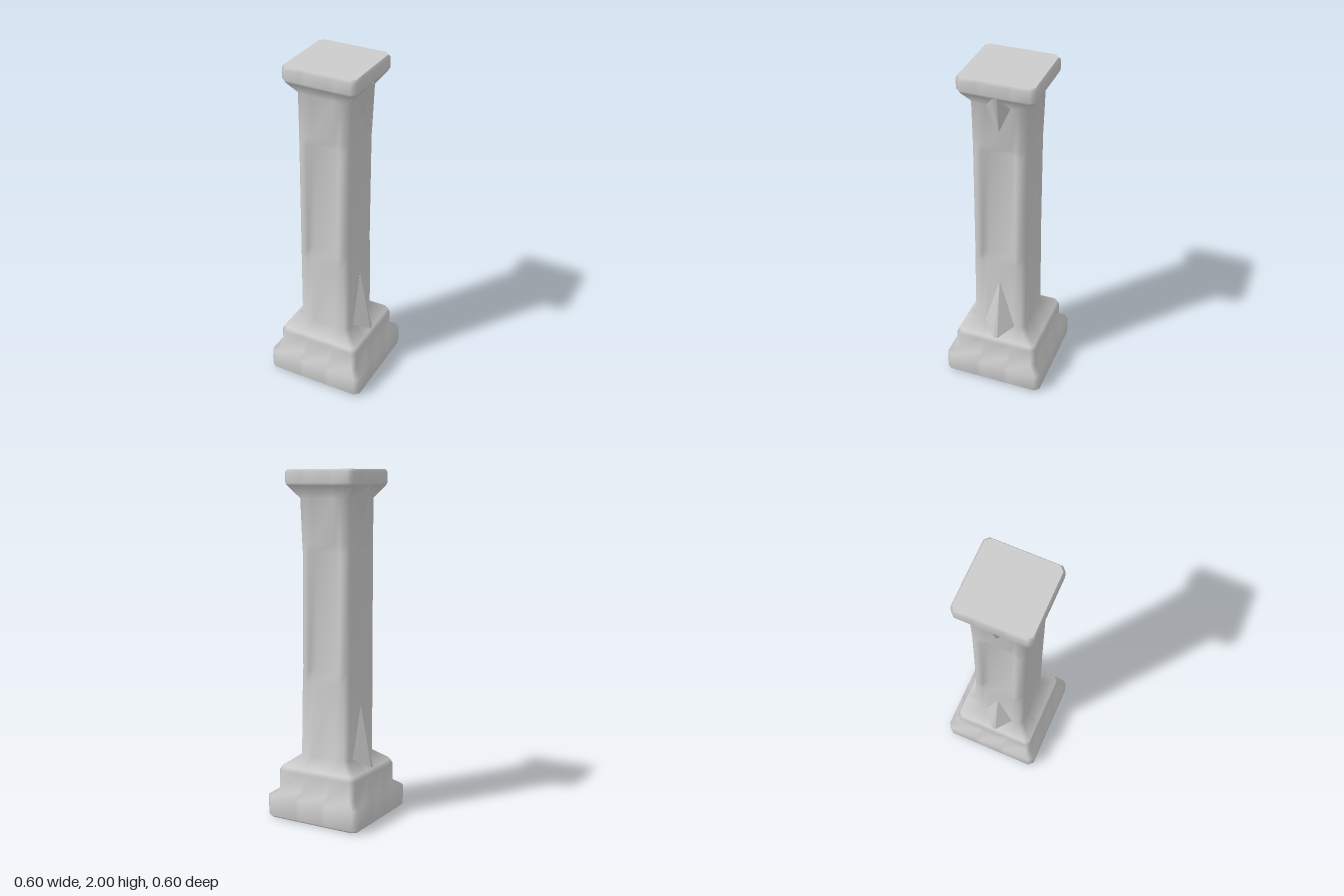
import * as THREE from 'three';
import { ConvexGeometry } from 'three/addons/geometries/ConvexGeometry.js';

const material = new THREE.MeshStandardMaterial({ color: 0xcccccc });

// Levels from foot to cap: height, half width, corner chamfer, panel recess, x shift, z shift
const LEVELS = [
  [0, 0.285, 0.025, 0, 0, 0],
  [0.015, 0.3, 0.027, 0, 0, 0],
  [0.13, 0.3, 0.027, 0, 0, 0],
  [0.165, 0.252, 0.024, 0, 0, 0],
  [0.275, 0.252, 0.024, 0, 0, 0],
  [0.3, 0.24, 0.024, 0, 0, 0],
  [0.36, 0.16, 0.025, 0, 0, 0.004],
  [0.8, 0.157, 0.025, 0, -0.003, 0.005],
  [0.87, 0.156, 0.025, 0.028, -0.004, 0.006],
  [1.54, 0.155, 0.025, 0.028, -0.004, 0.006],
  [1.59, 0.156, 0.025, 0, -0.003, 0.005],
  [1.84, 0.16, 0.025, 0, 0, 0.002],
  [1.91, 0.212, 0.025, 0, 0, 0],
  [1.925, 0.219, 0.025, 0, 0, 0],
  [1.985, 0.219, 0.025, 0, 0, 0],
  [2, 0.21, 0.025, 0, 0, 0],
];

// Chamfered square; each side carries the edges of a sunken panel
function ring([y, half, chamfer, recess, dx, dz]) {
  const points = [];
  const end = half - chamfer;
  for (let side = 0; side < 4; side++) {
    const s = Math.round(Math.sin(side * Math.PI / 2));
    const c = Math.round(Math.cos(side * Math.PI / 2));
    for (const u of [-end, -0.1, -0.07, 0.07, 0.1, end]) {
      const out = Math.abs(u) < 0.08 ? half - recess : half;
      points.push([u * c + out * s + dx, y, out * c - u * s + dz]);
    }
  }
  return points;
}

function columnGeometry() {
  const rings = LEVELS.map(ring);
  const n = rings[0].length;
  const positions = rings.flat(2);
  const index = [];
  for (let i = 0; i < rings.length - 1; i++) {
    for (let j = 0; j < n; j++) {
      const k = (j + 1) % n;
      const a = i * n + j, b = i * n + k;
      index.push(a, b, b + n, a, b + n, a + n);
    }
  }
  // Flat end faces with their own vertices
  for (const [points, up] of [[rings[0], false], [rings.at(-1), true]]) {
    const start = positions.length / 3;
    positions.push(...points.flat());
    for (let j = 1; j < n - 1; j++) {
      index.push(start, start + (up ? j : j + 1), start + (up ? j + 1 : j));
    }
  }
  const geometry = new THREE.BufferGeometry();
  geometry.setAttribute('position', new THREE.Float32BufferAttribute(positions, 3));
  geometry.setIndex(index);
  geometry.computeVertexNormals();
  return geometry;
}

// Faceted wedge: tip on the shaft, nose standing out, flanks against the shaft
function spurGeometry(side, tipY, noseX, noseY, flankY, flankZ) {
  const points = [[0.157, tipY, 0], [0.13, tipY, 0], [0.13, noseY, 0]];
  for (const m of [-1, 1]) {
    points.push([noseX, noseY, 0.012 * m], [0.155, flankY, flankZ * m]);
  }
  return new ConvexGeometry(points.map(([x, y, z]) => new THREE.Vector3(x * side, y, z)));
}

export function createModel() {
  const group = new THREE.Group();
  group.name = 'column';

  const add = (name, geometry) => {
    const mesh = new THREE.Mesh(geometry, material);
    mesh.name = name;
    group.add(mesh);
  };

  add('columnBody', columnGeometry());
  for (const [label, side] of [['left', 1], ['right', -1]]) {
    add(label + 'LowerSpur', spurGeometry(side, 0.68, 0.237, 0.3, 0.36, 0.1));
    add(label + 'UpperSpur', spurGeometry(side, 1.69, 0.213, 1.91, 1.84, 0.075));
  }
  return group;
}
